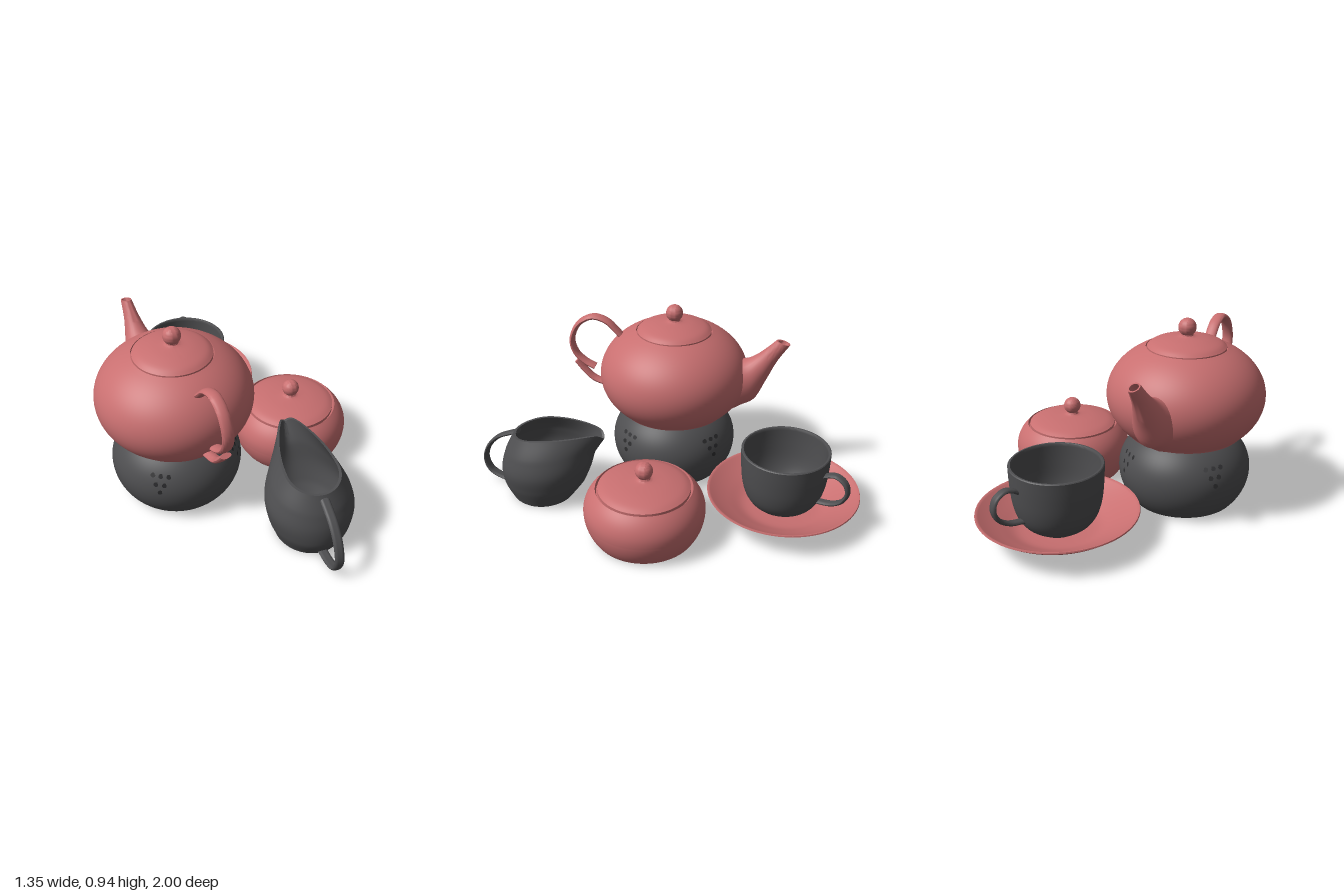
import * as THREE from 'three';
import { toCreasedNormals } from 'three/addons/utils/BufferGeometryUtils.js';

const V = (x, y, z) => new THREE.Vector3(x, y, z);
const mat = (name, color) => new THREE.MeshStandardMaterial({ name, color });

function add(parent, name, geometry, material) {
  const mesh = new THREE.Mesh(toCreasedNormals(geometry, 0.7), material);
  mesh.name = name;
  parent.add(mesh);
  return mesh;
}

function group(parent, name, x, z, turn = 0) {
  const g = new THREE.Group();
  g.name = name;
  g.position.set(x, 0, z);
  g.rotation.y = turn;
  parent.add(g);
  return g;
}

// Turned shape from [radius, y] points
const lathe = (pts) => new THREE.LatheGeometry(pts.map(([r, y]) => new THREE.Vector2(r, y)), 72);

// Smooth run of [radius, y] points
const smooth = (pts, n = 16) =>
  new THREE.SplineCurve(pts.map(([r, y]) => new THREE.Vector2(r, y))).getPoints(n).map((p) => [p.x, p.y]);

// Radius of a round belly that is widest at height cy
const bellyRadius = (b, y) => b.r * Math.sqrt(1 - ((y - b.cy) / (y < b.cy ? b.low : b.high)) ** 2);
function belly(b, y0, y1, n = 28) {
  return Array.from({ length: n + 1 }, (_, i) => {
    const y = y0 + ((y1 - y0) * i) / n;
    return [bellyRadius(b, y), y];
  });
}

// Skin over a list of closed rings
function loft(rings) {
  const n = rings[0].length;
  const index = [];
  for (let i = 0; i < rings.length - 1; i++) {
    for (let j = 0; j < n; j++) {
      const a = i * n + j, b = i * n + ((j + 1) % n);
      index.push(a, b, a + n, b, b + n, a + n);
    }
  }
  const g = new THREE.BufferGeometry().setFromPoints(rings.flat());
  g.setIndex(index);
  return g;
}

function ring(n, fn) {
  return Array.from({ length: n }, (_, j) => fn((j / n) * Math.PI * 2));
}

// Flat strap swept along [z, y] points
function strap(pts, width, thick) {
  const curve = new THREE.CatmullRomCurve3(pts.map(([z, y]) => V(0, y, z)));
  const rings = [];
  const n = 40;
  for (let k = -1; k <= n + 1; k++) {
    const u = Math.min(1, Math.max(0, k / n));
    const s = k < 0 || k > n ? 0 : 1;
    const p = curve.getPoint(u);
    const up = V(1, 0, 0).cross(curve.getTangent(u));
    rings.push(ring(16, (a) => p.clone()
      .addScaledVector(up, (s * Math.cos(a) * thick) / 2)
      .add(V((s * Math.sin(a) * width) / 2, 0, 0))));
  }
  return loft(rings);
}

// Domed lid with ball knob
function addLid(parent, r, y, top, ballY, material) {
  add(parent, 'lid', lathe([[r, y - 0.015], ...smooth([[r, y + 0.003], [r * 0.85, y + (top - y) * 0.45],
    [r * 0.55, y + (top - y) * 0.8], [0.045, top], [0.03, top + 0.005]]), [0.027, top + 0.012], [0.027, ballY]]), material);
  add(parent, 'knob', new THREE.SphereGeometry(0.044, 32, 20).translate(0, ballY, 0), material);
}

export function createModel() {
  const model = new THREE.Group();
  model.name = 'teaSet';
  const rose = mat('rose glaze', 0xc86f70);
  const grey = mat('charcoal glaze', 0x4e4e50);
  const dark = mat('vent shadow', 0x2c2c2e);

  // Warmer with four triangular clusters of vents
  const warmer = group(model, 'warmer', -0.29, 0.03);
  const warmerBelly = { cy: 0.18, r: 0.33, low: 0.28, high: 0.25 };
  add(warmer, 'warmerBody', lathe([[0, 0], [0.246, 0], ...belly(warmerBelly, 0.006, 0.364), [0, 0.364]]), grey);
  for (let side = 0; side < 4; side++) {
    [3, 2, 1].forEach((count, row) => {
      for (let k = 0; k < count; k++) {
        const az = (-38 + side * 90 + (k - (count - 1) / 2) * 7.5) * Math.PI / 180;
        const y = 0.283 - row * 0.04;
        const r = bellyRadius(warmerBelly, y);
        const slope = (y - 0.18) / 0.25 ** 2 / (r / 0.33 ** 2);
        const normal = V(Math.sin(az), slope, Math.cos(az)).normalize();
        const vent = add(warmer, 'vent', new THREE.CircleGeometry(0.012, 16), dark);
        vent.position.set(r * Math.sin(az), y, r * Math.cos(az)).addScaledVector(normal, 0.002);
        vent.lookAt(vent.position.clone().add(normal));
      }
    });
  }

  // Teapot
  const pot = group(model, 'teapot', -0.29, 0.03, 0.025);
  add(pot, 'teapotBody', lathe([[0, 0.365], [0.283, 0.365],
    ...belly({ cy: 0.565, r: 0.39, low: 0.285, high: 0.279 }, 0.372, 0.805, 36), [0.2, 0.788], [0.15, 0.788]]), rose);
  addLid(pot, 0.193, 0.805, 0.855, 0.9, rose);
  // Spout sections: lower z, y, upper z, y, half width
  const sections = [
    [-0.3, 0.37, -0.24, 0.68, 0.13], [-0.37, 0.415, -0.34, 0.668, 0.108], [-0.43, 0.45, -0.385, 0.675, 0.088],
    [-0.49, 0.57, -0.435, 0.705, 0.058], [-0.54, 0.68, -0.485, 0.75, 0.037], [-0.6, 0.775, -0.53, 0.795, 0.026]];
  const [lower, upper, widths] = [
    sections.map((s) => V(0, s[1], s[0])), sections.map((s) => V(0, s[3], s[2])), sections.map((s) => V(s[4], 0, 0)),
  ].map((p) => new THREE.CatmullRomCurve3(p));
  const spoutRing = (u, scale) => {
    const lo = lower.getPoint(u), hi = upper.getPoint(u), w = widths.getPoint(u).x * scale;
    const mid = lo.clone().add(hi).multiplyScalar(0.5);
    const half = hi.sub(lo).multiplyScalar(0.5 * scale);
    return ring(32, (a) => mid.clone().addScaledVector(half, Math.cos(a)).add(V(Math.sin(a) * w, 0, 0)));
  };
  const spoutRings = Array.from({ length: 31 }, (_, i) => spoutRing(i / 30, 1));
  spoutRings.push(spoutRing(1, 0.75), spoutRing(0.9, 0.7), spoutRing(0.8, 0.6), spoutRing(0.8, 0));
  add(pot, 'spout', loft(spoutRings), rose);
  add(pot, 'teapotHandle', strap([[0.27, 0.73], [0.31, 0.775], [0.36, 0.822], [0.435, 0.842], [0.515, 0.797],
    [0.557, 0.7], [0.538, 0.625], [0.49, 0.578], [0.435, 0.55]], 0.06, 0.028), rose);
  add(pot, 'handleBrace', strap([[0.535, 0.58], [0.49, 0.525], [0.44, 0.48], [0.34, 0.45]], 0.055, 0.028), rose);

  // Sugar bowl
  const sugar = group(model, 'sugarBowl', 0.375, 0.03);
  add(sugar, 'sugarBowlBody', lathe([[0, 0], [0.243, 0],
    ...belly({ cy: 0.15, r: 0.3, low: 0.27, high: 0.203 }, 0.006, 0.273), [0.234, 0.255], [0.18, 0.255]]), rose);
  addLid(sugar, 0.227, 0.273, 0.316, 0.365, rose);

  // Saucer
  const cup = group(model, 'cupAndSaucer', 0.055, -0.615, 2.76);
  add(cup, 'saucer', lathe([[0, 0.028], [0.11, 0.028], [0.115, 0.02], [0.13, 0.02],
    ...smooth([[0.135, 0.024], [0.2, 0.034], [0.28, 0.067], [0.34, 0.103], [0.386, 0.136]]), [0.384, 0.142],
    ...smooth([[0.378, 0.142], [0.33, 0.112], [0.27, 0.08], [0.2, 0.048], [0.13, 0.04]]), [0, 0.04]]), rose);
  // Cup
  add(cup, 'cup', lathe([[0, 0.042], [0.1, 0.042],
    ...smooth([[0.105, 0.048], [0.155, 0.08], [0.19, 0.13], [0.21, 0.2], [0.219, 0.29], [0.222, 0.376]], 24),
    [0.218, 0.38], [0.21, 0.38],
    ...smooth([[0.207, 0.376], [0.204, 0.29], [0.195, 0.2], [0.174, 0.135], [0.14, 0.09], [0.088, 0.06]], 24),
    [0, 0.06]]), grey);
  add(cup, 'cupHandle', strap([[0.2, 0.29], [0.235, 0.314], [0.28, 0.326], [0.327, 0.3], [0.342, 0.25],
    [0.318, 0.195], [0.265, 0.16], [0.19, 0.145]], 0.045, 0.022), grey);

  // Cream jug: back, half width and front extents at even steps up the wall
  const jug = group(model, 'creamJug', 0.14, 0.637, -0.14);
  const extents = new THREE.CatmullRomCurve3([V(0.178, 0.165, 0.155), V(0.215, 0.2, 0.225),
    V(0.215, 0.215, 0.268), V(0.19, 0.19, 0.3), V(0.145, 0.137, 0.36)]);
  const jugPoint = (t, a, wall) => {
    const e = extents.getPoint(t), top = extents.getPoint(1);
    const c = Math.cos(a), s = Math.sin(a), front = Math.max(0, -c);
    const pinch = 1 - 0.4 * t * t * front ** 2;
    const x = (e.y - wall) * s * pinch;
    const z = c * ((c > 0 ? e.x : e.z) - wall);
    const rimZ = c * (c > 0 ? top.x : top.z);
    const dip = front > 0.8 ? 0.035 * Math.exp(-((s / 0.28) ** 2)) : 0;
    const rim = 0.353 + (0.145 - rimZ) * 0.16 - dip;
    return V(x, t * rim, z);
  };
  const jugRing = (t, wall) => ring(72, (a) => jugPoint(t, a, wall));
  const jugRings = [ring(72, () => V(0, 0, 0))];
  for (let i = 0; i <= 28; i++) jugRings.push(jugRing(i / 28, 0));
  for (let i = 28; i >= 1; i--) jugRings.push(jugRing(i / 28, 0.013));
  jugRings.push(ring(72, () => V(0, 0.013, 0)));
  add(jug, 'jugBody', loft(jugRings), grey);
  add(jug, 'jugHandle', strap([[0.135, 0.335], [0.19, 0.312], [0.26, 0.275], [0.325, 0.205], [0.353, 0.125],
    [0.332, 0.058], [0.27, 0.024], [0.16, 0.014]], 0.048, 0.022), grey);

  return model;
}
